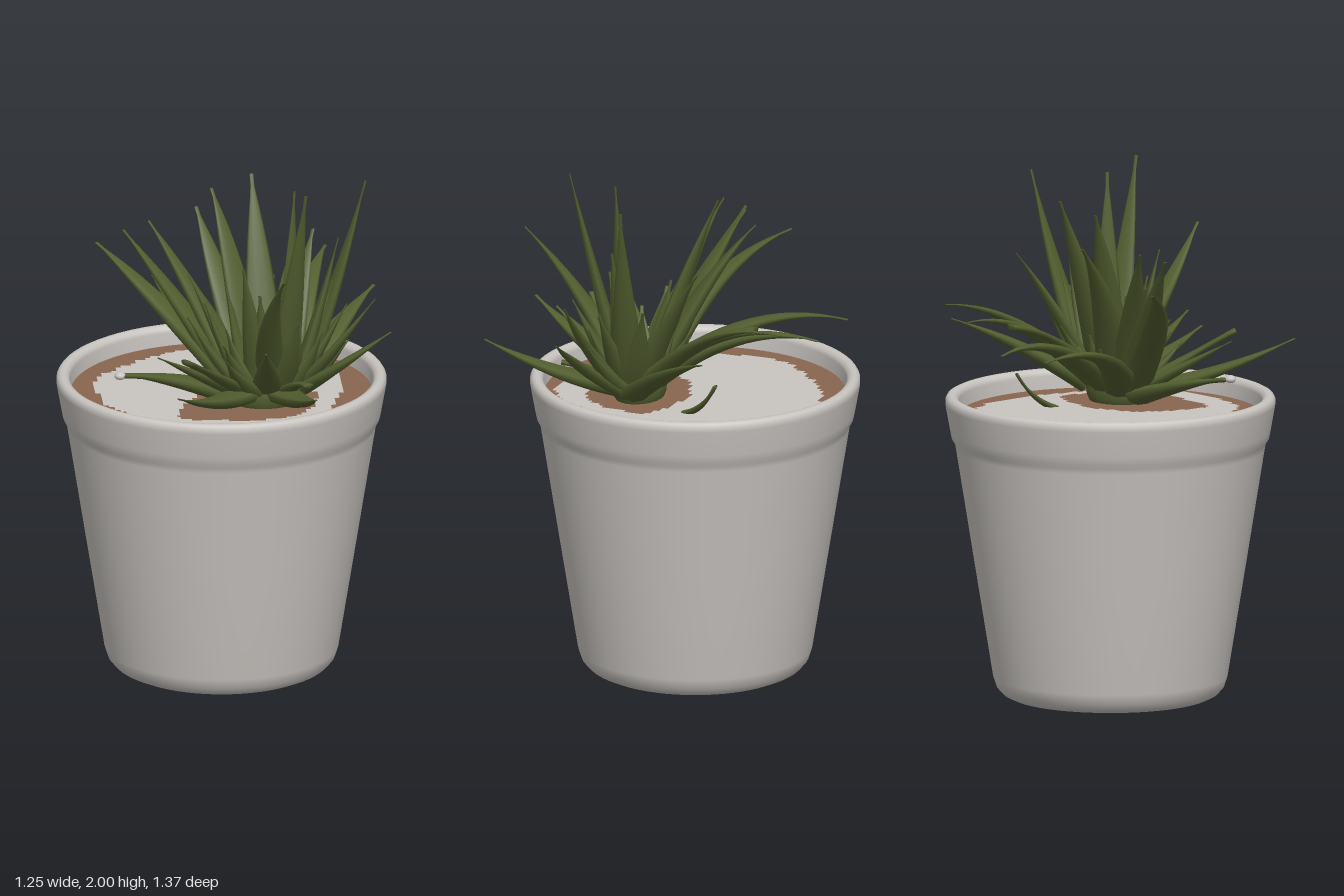
import * as THREE from 'three';

const V = (x, y, z) => new THREE.Vector3(x, y, z);
const POT_Z = -0.065;
const SOIL_Y = 1.09;

// Fleshy leaf: flattened, tapering cross-sections swept along a curve.
function leafGeometry(curve, halfWidth, blunt = 0) {
  const rings = 14, sides = 10, pos = [], idx = [];
  for (let i = 0; i <= rings + 1; i++) {
    const t = Math.min(i / rings, 1);
    const c = curve.getPoint(t), tan = curve.getTangent(t);
    const side = V(0, 0, 0).crossVectors(tan, V(0, 1, 0)).normalize();
    const up = V(0, 0, 0).crossVectors(side, tan);
    const taper = Math.max(Math.pow(1 - t, 1.1) * (1 + 0.7 * t), blunt, 0.1);
    const w = i > rings ? 0 : halfWidth * taper;
    for (let k = 0; k < sides; k++) {
      const a = (k / sides) * Math.PI * 2, s = Math.sin(a);
      const p = c.clone().addScaledVector(side, Math.cos(a) * w)
        .addScaledVector(up, s * w * (s > 0 ? 0.25 : 0.65));
      pos.push(p.x, p.y, p.z);
      if (i <= rings) {
        const q = i * sides + k, r = i * sides + (k + 1) % sides;
        idx.push(q, q + sides, r, r, q + sides, r + sides);
      }
    }
  }
  const g = new THREE.BufferGeometry();
  g.setAttribute('position', new THREE.Float32BufferAttribute(pos, 3));
  g.setIndex(idx);
  g.computeVertexNormals();
  return g;
}

// Curve from the crown to a leaf tip; bow lifts the middle, sway bends it sideways.
function leafCurve(x, y, z, bow, sway = 0) {
  const cx = THREE.MathUtils.clamp(0.14 + x * 0.2, 0.06, 0.25), cz = 0.1;
  const d = V(x - cx, 0, z - cz).normalize();
  const base = V(cx + d.x * 0.04, 1.15 + 0.1 * (y - 1.25), cz + d.z * 0.04), tip = V(x, y, z);
  const mid = base.clone().lerp(tip, 0.5).add(V(d.z * sway, bow, -d.x * sway));
  return new THREE.QuadraticBezierCurve3(base, mid, tip);
}

// Flat patch with a stepped outline, given as [x, z] corners.
function patchGeometry(corners) {
  const step = 0.02, snap = v => Math.round(v / step) * step, pts = [];
  corners.forEach(([x, z], i) => {
    const [nx, nz] = corners[(i + 1) % corners.length];
    const n = Math.max(1, Math.round(Math.hypot(nx - x, nz - z) / 0.035));
    for (let k = 0; k < n; k++) {
      const px = snap(x + (nx - x) * k / n), pz = snap(z + (nz - z) * k / n);
      const last = pts[pts.length - 1];
      if (last && last.x !== px && last.y !== -pz) pts.push(new THREE.Vector2(px, last.y));
      pts.push(new THREE.Vector2(px, -pz));
    }
  });
  return new THREE.ShapeGeometry(new THREE.Shape(pts)).rotateX(-Math.PI / 2);
}

export function createModel() {
  const model = new THREE.Group();
  model.name = 'pottedSucculent';
  const mat = (name, color) => {
    const m = new THREE.MeshStandardMaterial({ color });
    m.name = name;
    return m;
  };
  const potGrey = mat('potGrey', 0xc8c4c0);
  const soilBrown = mat('soilBrown', 0x88664f);
  const leafGreen = mat('leafGreen', 0x525e2f);
  const add = (name, geo, material, parent = model) => {
    const m = new THREE.Mesh(geo, material);
    m.name = name;
    parent.add(m);
    return m;
  };

  // Pot: recessed foot, tapered wall and thick rim
  const profile = [
    [0, 0.03], [0.3, 0.03], [0.33, 0.015], [0.35, 0.004], [0.38, 0.006], [0.41, 0.02],
    [0.432, 0.045], [0.445, 0.085], [0.517, 0.53], [0.586, 0.96], [0.59, 0.982],
    [0.602, 1.0], [0.608, 1.03], [0.626, 1.13], [0.626, 1.148], [0.619, 1.16],
    [0.607, 1.166], [0.592, 1.164], [0.58, 1.155], [0.575, 1.14], [0.572, 1.06],
  ].map(p => new THREE.Vector2(...p));
  add('pot', new THREE.LatheGeometry(profile, 72), potGrey).position.z = POT_Z;

  // Soil with a pale layer and a bare patch around the plant
  add('soil', new THREE.CircleGeometry(0.574, 64).rotateX(-Math.PI / 2), soilBrown)
    .position.set(0, SOIL_Y, POT_Z);
  add('paleGravel', patchGeometry([
    [-0.48, -0.16], [-0.455, -0.27], [-0.36, -0.38], [-0.27, -0.46], [-0.18, -0.53],
    [-0.02, -0.56], [0.18, -0.56], [0.24, -0.51], [0.39, -0.42], [0.465, -0.24],
    [0.465, -0.04], [0.4, 0.2], [0.31, 0.36], [0.2, 0.44], [-0.05, 0.44],
    [-0.22, 0.38], [-0.33, 0.26], [-0.38, 0.16], [-0.46, 0.05],
  ]), potGrey).position.y = SOIL_Y + 0.006;
  add('barePatch', patchGeometry([
    [-0.2, 0.24], [-0.16, 0.1], [-0.1, 0], [0.05, -0.08], [0.25, -0.05],
    [0.36, 0.02], [0.34, 0.18], [0.25, 0.28], [0.1, 0.32], [-0.03, 0.3], [-0.12, 0.3],
  ]), soilBrown).position.y = SOIL_Y + 0.012;

  const plant = new THREE.Group();
  plant.name = 'plant';
  model.add(plant);
  const crown = add('crown', new THREE.SphereGeometry(0.1, 20, 12), leafGreen, plant);
  crown.scale.set(1.3, 1.1, 1);
  crown.position.set(0.15, 1.15, 0.1);

  // Spreading leaves: tip x, y, z, half width, bow, sway, blunt end
  const spreading = [
    [-0.22, 1.38, -0.6, 0.07, 0.16, 0.13], [0.04, 1.37, -0.585, 0.075, 0.18],
    [0.2, 1.44, -0.39, 0.06, 0.1, 0.03, 0.5], [0.29, 1.46, -0.535, 0.065, 0.17, -0.03],
    [0.43, 1.51, -0.52, 0.068, 0.15], [0.6, 1.41, -0.335, 0.075, 0.04],
    [0.62, 1.42, 0.25, 0.06, 0, -0.09], [0.56, 1.55, 0.24, 0.058, -0.02, -0.05],
    [0.3, 1.3, 0.675, 0.07, -0.04, 0.03], [-0.22, 1.32, 0.68, 0.07, -0.05],
    [-0.4, 1.25, 0.18, 0.076, 0.02, -0.05, 0.26], [-0.27, 1.36, 0.31, 0.06, 0],
    [-0.17, 1.38, 0.42, 0.055, 0, 0, 0.45], [0.13, 1.41, 0.45, 0.065, 0],
    [0.3, 1.25, 0.36, 0.05, 0.04, 0, 0.4], [0.46, 1.5, 0.14, 0.058, 0],
  ];
  // Upright leaves, arching out of the crown
  const upright = [
    [-0.46, 1.63, -0.27, 0.075, 0.12, 0.1], [-0.37, 1.73, -0.12, 0.073, 0.03],
    [-0.27, 1.75, -0.16, 0.068, 0.05], [-0.08, 1.76, -0.28, 0.078, 0.08, 0.03],
    [-0.03, 1.87, -0.17, 0.072, 0.11], [0.125, 1.91, -0.21, 0.078, 0.06],
    [0.29, 2.0, 0.33, 0.068, -0.03], [0.26, 1.96, 0.155, 0.065, 0],
    [0.54, 1.95, 0.02, 0.068, -0.1], [0.43, 1.75, 0.1, 0.062, -0.04],
    [0.19, 1.73, 0.555, 0.062, 0.05, -0.06], [0.06, 1.68, 0.24, 0.062, 0],
    [0.36, 1.68, -0.22, 0.065, 0.05], [-0.13, 1.58, 0, 0.07, 0.04],
  ];
  for (const [x, y, z, w, bow, sway, blunt] of [...spreading, ...upright]) {
    add('leaf', leafGeometry(leafCurve(x, y, z, bow, sway), w, blunt), leafGreen, plant);
  }

  // Short inner leaves filling the heart of the rosette
  for (let i = 0; i < 18; i++) {
    const a = i * 2.4, r = 0.14 + 0.05 * (i % 3);
    const curve = leafCurve(0.17 + Math.cos(a) * r * 1.3, 1.33 + 0.04 * (i % 7), 0.1 + Math.sin(a) * r, -0.03);
    add('innerLeaf', leafGeometry(curve, 0.068), leafGreen, plant);
  }

  // Pale cut end of the blunt leaf and a withered leaf near the soil
  const cut = add('cutLeafTip', new THREE.SphereGeometry(0.022, 12, 8), potGrey, plant);
  cut.position.set(-0.405, 1.248, 0.182);
  cut.scale.set(1, 0.7, 1);
  const dry = new THREE.QuadraticBezierCurve3(V(0.24, 1.09, -0.12), V(0.28, 1.13, -0.22), V(0.3, 1.23, -0.27));
  add('witheredLeaf', leafGeometry(dry, 0.03, 0.4), leafGreen, plant);
  return model;
}
